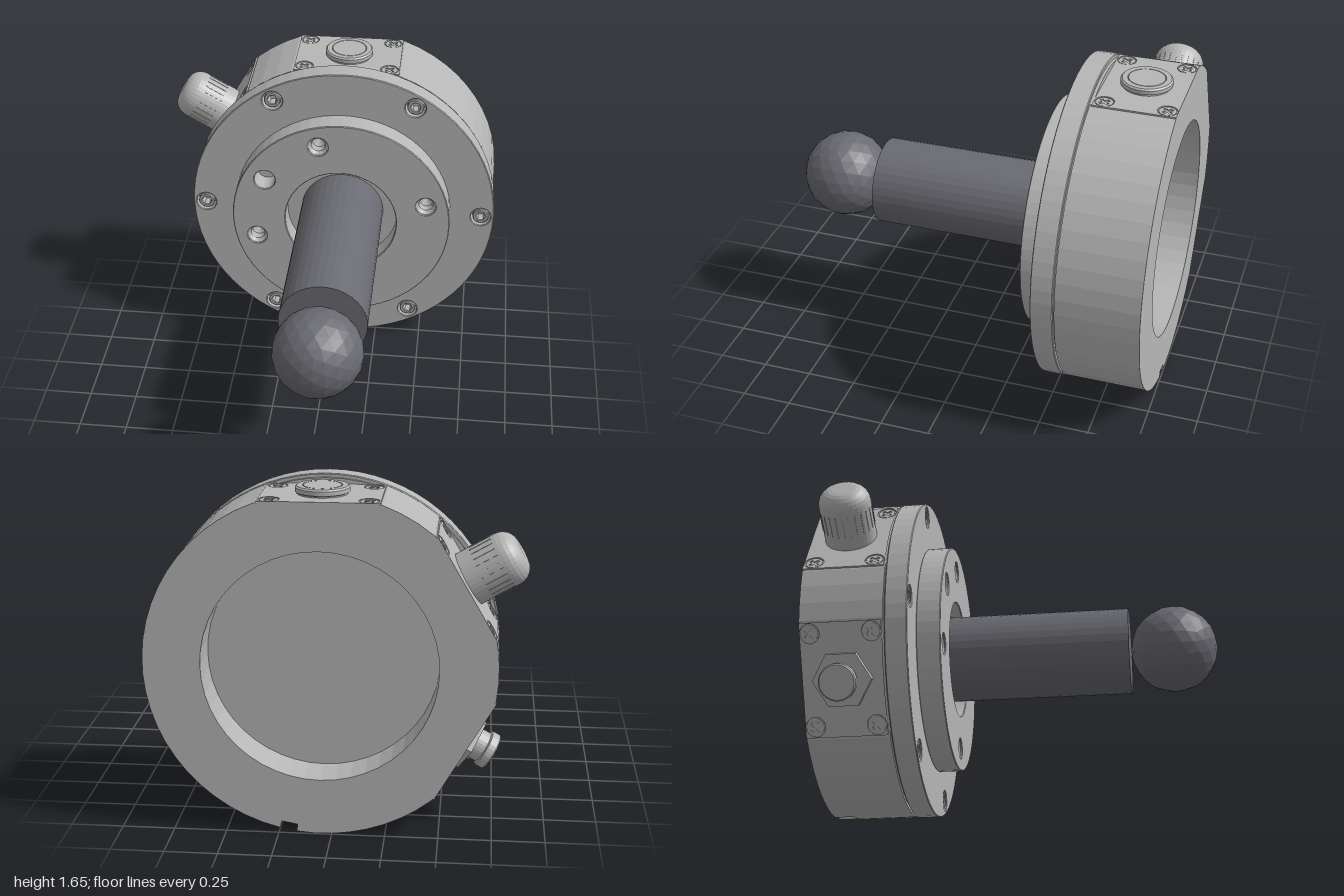
import * as THREE from 'three';

const R = 0.82, FLAT = 0.768, AXIS_Y = 0.825, AXIS_X = 0.055;
const rad = THREE.MathUtils.degToRad;

export function createModel() {
  const grey = new THREE.MeshStandardMaterial({ color: 0xb6b6b6, flatShading: true });
  grey.name = 'machinedGrey';
  const dark = new THREE.MeshStandardMaterial({ color: 0x6a6a72, flatShading: true });
  dark.name = 'darkSteel';

  const root = new THREE.Group();
  root.name = 'spindleUnit';
  const unit = new THREE.Group();
  unit.name = 'housing';
  unit.position.set(AXIS_X, AXIS_Y, 0);
  root.add(unit);

  const add = (parent, name, geo, mat = grey) => {
    const m = new THREE.Mesh(geo, mat);
    m.name = name;
    parent.add(m);
    return m;
  };
  const polar = (r, deg) => new THREE.Vector2(r * Math.cos(rad(deg)), r * Math.sin(rad(deg)));
  const ring = (r, n, x = 0, y = 0, start = 0) =>
    Array.from({ length: n }, (_, i) => polar(r, start + i * 360 / n).add(new THREE.Vector2(x, y)));
  // Extrusion from z0 to z1 with an optional small edge bevel
  const slab = (points, holes, z0, z1, bevel = 0) => {
    const s = new THREE.Shape(points);
    s.holes = holes.map(h => new THREE.Path(h));
    const g = new THREE.ExtrudeGeometry(s, {
      depth: z1 - z0 - 2 * bevel, bevelEnabled: bevel > 0, bevelSize: bevel,
      bevelThickness: bevel, bevelOffset: -bevel, bevelSegments: 1,
    });
    return g.translate(0, 0, z0 + bevel);
  };
  const lathe = (pts, n) => new THREE.LatheGeometry(pts.map(p => new THREE.Vector2(p[0], p[1])), n);

  // Housing outline: a circle with three flats and an optional bottom notch
  const half = THREE.MathUtils.radToDeg(Math.acos(FLAT / R));
  const outline = notch => {
    const pts = [];
    const arc = (a, b, n) => { for (let i = 0; i <= n; i++) pts.push(polar(R, a + (b - a) * i / n)); };
    arc(210 + half, 277.7, 8);
    if (notch) pts.push(polar(R - 0.035, 277.7), polar(R - 0.035, 283.3));
    arc(283.3, 450 - half, 24);
    arc(90 + half, 150 - half, 3);
    arc(150 + half, 210 - half, 3);
    return pts;
  };
  const bore = ring(0.55, 48);
  add(unit, 'rearHousing', slab(outline(true), [bore], -1, -0.9));
  add(unit, 'middleHousing', slab(outline(false), [bore], -0.9, -0.8));
  add(unit, 'frontHousing', slab(outline(false), [], -0.8, -0.592));
  add(unit, 'seamNeck', slab(ring(0.805, 64), [], -0.6, -0.54));

  // Front flange with six socket screws
  const screwSpots = [0, 60, 120, 180, 240, 300].map(a => polar(0.752, a));
  add(unit, 'flange', slab(ring(0.823, 72), screwSpots.map(p => ring(0.054, 20, p.x, p.y)), -0.585, -0.475, 0.004));
  for (const p of screwSpots) {
    const head = add(unit, 'flangeScrew', slab(ring(0.044, 20), [ring(0.026, 6)], -0.56, -0.482, 0.004));
    head.position.set(p.x, p.y, 0);
  }

  // Raised boss with a central recess, four tapped holes and a dowel hole
  const taps = [15, 105, 195, 285].map(a => polar(0.472, a));
  const dowel = polar(0.472, 150);
  add(unit, 'boss', slab(ring(0.587, 64), [
    ring(0.3, 48), ring(0.056, 24, dowel.x, dowel.y), ...taps.map(p => ring(0.053, 20, p.x, p.y)),
  ], -0.476, -0.355, 0.004));
  for (const p of taps) {
    const funnel = lathe([[0.054, 0], [0.038, -0.02], [0.036, -0.06], [0, -0.085]], 20).rotateX(Math.PI / 2);
    add(unit, 'tappedHole', funnel).position.set(p.x, p.y, -0.362);
  }

  // Shaft and ball end
  add(unit, 'shaft', new THREE.CylinderGeometry(0.222, 0.222, 1.025, 36).rotateX(Math.PI / 2), dark)
    .position.z = 0.0375;
  add(unit, 'ball', new THREE.IcosahedronGeometry(0.223, 3), dark).position.z = 0.777;

  // Side stations: local +y points outward from the housing axis
  const cross = (a, b) => [[b, a], [a, a], [a, b], [-a, b], [-a, a], [-b, a], [-b, -a], [-a, -a],
    [-a, -b], [a, -b], [a, -a], [b, -a]].map(p => new THREE.Vector2(p[0], p[1]));
  const corners = [[-1, -1], [1, -1], [1, 1], [-1, 1]];
  const station = (name, angle) => {
    const g = new THREE.Group();
    g.name = name;
    g.rotation.z = rad(angle - 90);
    g.position.z = 0;
    unit.add(g);
    const at = corners.map(([x, z]) => [x * 0.225, z * 0.15]);
    const rect = corners.map(([x, z]) => new THREE.Vector2(x * 0.278, z * 0.2));
    const plate = slab(rect, at.map(([x, y]) => ring(0.048, 20, x, y)), 0, 0.008).rotateX(-Math.PI / 2);
    add(g, 'coverPlate', plate).position.set(0, FLAT, -0.8);
    for (const [x, z] of at) {
      const head = slab(ring(0.042, 20), [cross(0.008, 0.028)], 0, 0.006).rotateX(-Math.PI / 2);
      const m = add(g, 'coverScrew', head);
      m.position.set(x, FLAT, -0.8 + z);
      m.rotation.y = Math.PI / 4;
    }
    return g;
  };

  // Top plug
  const top = station('topStation', 90);
  add(top, 'plug', lathe([[0.118, 0.77], [0.118, 0.782], [0.126, 0.786], [0.126, 0.806], [0.118, 0.814],
    [0.092, 0.814], [0.09, 0.808], [0.088, 0.814], [0, 0.814]], 40)).position.z = -0.8;

  // Domed knob with fine ribs
  const upper = station('knobStation', 150);
  const dome = [[0.13, 0.77]];
  for (let i = 0; i <= 6; i++) {
    const a = i * Math.PI / 12;
    dome.push([0.05 + 0.08 * Math.cos(a), 0.973 + 0.08 * Math.sin(a)]);
  }
  dome.push([0, 1.053]);
  add(upper, 'domedKnob', lathe(dome, 36)).position.z = -0.8;
  for (let i = 0; i < 24; i++) {
    const a = i * Math.PI / 12;
    const rib = add(upper, 'knobRib', new THREE.BoxGeometry(0.006, 0.11, 0.006));
    rib.position.set(0.129 * Math.sin(a), 0.9, -0.8 + 0.129 * Math.cos(a));
    rib.rotation.y = a;
  }

  // Capped connector on a hex nut
  const lower = station('connectorStation', 210);
  add(lower, 'hexNut', new THREE.CylinderGeometry(0.145, 0.145, 0.04, 6)).position.set(0, 0.792, -0.8);
  add(lower, 'connector', lathe([[0.075, 0.8], [0.075, 0.872], [0.088, 0.876], [0.09, 0.88],
    [0.09, 0.914], [0.084, 0.92], [0, 0.92]], 28)).position.z = -0.8;

  return root;
}
